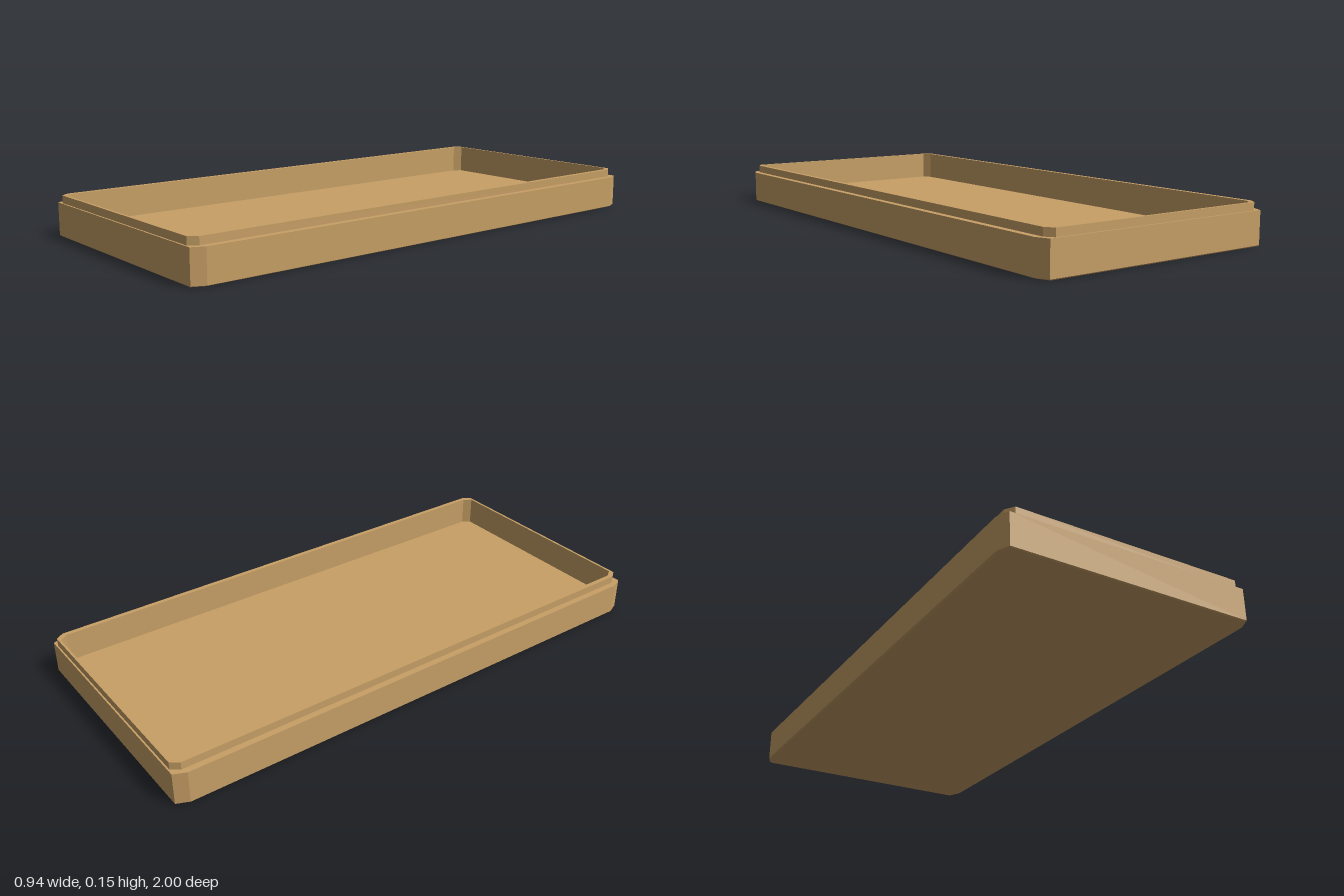
import * as THREE from 'three';

// Ring: [y, half width, half length, corner cut in x, corner cut in z]
const OUTER = [0.47, 1.0, 0.02, 0.045];
const LIP = [0.447, 0.994, 0.022, 0.03];
const INNER = [0.43, 0.985, 0.02, 0.03];

// Eight corners of a rectangle with cut corners
function corners([y, w, l, cx, cz]) {
  return [
    [w, l - cz], [w - cx, l], [cx - w, l], [-w, l - cz],
    [-w, cz - l], [cx - w, -l], [w - cx, -l], [w, cz - l],
  ].map(([x, z]) => [x, y, z]);
}

// Flat-faced skin through successive rings, optionally capped at either end
function loft(rings, capStart, capEnd) {
  const loops = rings.map(corners);
  const pos = [];
  const tri = (a, b, c) => pos.push(...a, ...b, ...c);
  for (let r = 0; r + 1 < loops.length; r++) {
    const a = loops[r], b = loops[r + 1];
    for (let i = 0; i < 8; i++) {
      const j = (i + 1) % 8;
      tri(a[i], b[i], b[j]);
      tri(a[i], b[j], a[j]);
    }
  }
  const first = loops[0], last = loops[loops.length - 1];
  for (let i = 1; i < 7; i++) {
    if (capStart) tri(first[0], first[i], first[i + 1]);
    if (capEnd) tri(last[0], last[i + 1], last[i]);
  }
  const geo = new THREE.BufferGeometry();
  geo.setAttribute('position', new THREE.Float32BufferAttribute(pos, 3));
  geo.computeVertexNormals();
  return geo;
}

export function createModel() {
  const wood = new THREE.MeshStandardMaterial({ color: 0xc8a066 });
  const group = new THREE.Group();
  const add = (name, ...args) => {
    const mesh = new THREE.Mesh(loft(...args), wood);
    mesh.name = name;
    group.add(mesh);
  };
  const floorY = 0.04, ledgeY = 0.122, topY = 0.15;

  // Outer body: underside with a fine bevel, walls, and the ledge on top
  add('outerBody', [
    [0, 0.462, 0.996, 0.02, 0.045],
    [0.004, ...OUTER],
    [ledgeY, ...OUTER],
    [ledgeY, ...LIP],
  ], true, false);

  // Raised lip that a lid would slide over
  add('lip', [[ledgeY, ...LIP], [topY, ...LIP], [topY, ...INNER]], false, false);

  // Recess: inner walls down to the floor
  add('innerTray', [[topY, ...INNER], [floorY, ...INNER]], false, true);

  return group;
}
